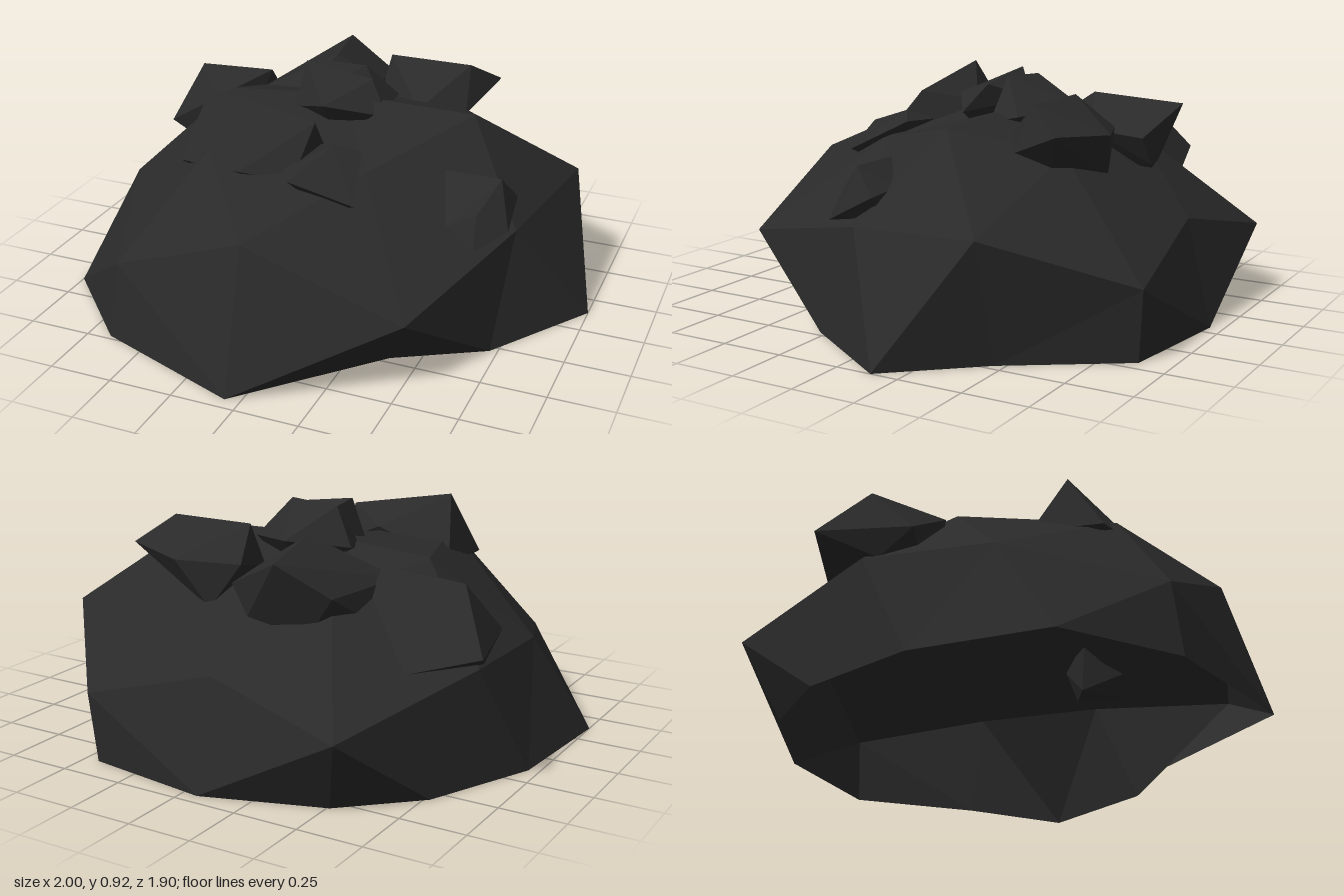
import * as THREE from 'three';
import { ConvexGeometry } from 'three/addons/geometries/ConvexGeometry.js';

const coal = new THREE.MeshStandardMaterial({ color: 0x2a2a2a, flatShading: true, side: THREE.DoubleSide });
coal.name = 'coal black';

// Mound corners, named by ring; the quadrant rings run [+x+z, -x+z, -x-z, +x-z]
const top = [-0.05, 0.78, -0.13];
const shoulder = { 1: [0.5, 0.77, -0.14], '-1': [-0.53, 0.74, -0.12] };
const brow = { 1: [-0.06, 0.54, 0.79], '-1': [-0.06, 0.41, -0.85] };
const sideFoot = { 1: [1, 0, -0.14], '-1': [-0.96, 0, -0.14] };
const endFoot = { 1: [-0.06, 0, 0.95], '-1': [-0.06, 0, -0.95] };
const crown = [[0.22, 0.66, 0.3], [-0.35, 0.72, 0.45], [-0.35, 0.66, -0.52], [0.27, 0.67, -0.5]];
const flank = [[0.75, 0.43, 0.1], [-0.85, 0.42, 0.13], [-0.85, 0.43, -0.36], [0.85, 0.47, -0.46]];
const haunch = [[0.53, 0.3, 0.715], [-0.63, 0.3, 0.69], [-0.6, 0.29, -0.935], [0.46, 0.27, -0.9]];
const cornerFoot = [[0.72, 0, 0.28], [-1, 0, 0.38], [-0.77, 0, -0.56], [0.72, 0, -0.46]];
const innerFoot = [[0.39, 0, 0.47], [-0.66, 0, 0.73], [-0.51, 0, -0.8], [0.44, 0, -0.88]];

function makeMound() {
  const pos = [];
  const tri = (a, b, c, flip) => pos.push(...a, ...(flip ? c : b), ...(flip ? b : c));
  [[1, 1], [-1, 1], [-1, -1], [1, -1]].forEach(([sx, sz], i) => {
    const flip = sx * sz < 0;
    const T = shoulder[sx], P = brow[sz], A = sideFoot[sx], C = endFoot[sz];
    const Q = crown[i], N = flank[i], M = haunch[i], B = cornerFoot[i], D = innerFoot[i];
    // Quadrant face, split in four
    tri(T, Q, N, flip);
    tri(Q, P, M, flip);
    tri(N, M, B, flip);
    tri(Q, M, N, flip);
    // Beside the summit, then down to the ground
    tri(top, Q, T, flip);
    tri(A, N, B, flip);
    tri(P, C, M, flip);
    tri(M, C, D, flip);
    tri(M, D, B, flip);
  });
  // Faces shared by two quadrants
  for (const s of [1, -1]) {
    const [r, l] = s > 0 ? [0, 1] : [3, 2];
    tri(brow[s], crown[r], crown[l], s < 0);
    tri(top, crown[l], crown[r], s < 0);
    const [f, b] = s > 0 ? [0, 3] : [1, 2];
    tri(shoulder[s], flank[f], flank[b], s < 0);
    tri(sideFoot[s], flank[b], flank[f], s < 0);
  }
  const g = new THREE.BufferGeometry();
  g.setAttribute('position', new THREE.Float32BufferAttribute(pos, 3));
  g.computeVertexNormals();
  return g;
}

export function createModel() {
  const group = new THREE.Group();
  group.name = 'coalPile';
  const add = (name, geometry) => {
    const mesh = new THREE.Mesh(geometry, coal);
    mesh.name = name;
    group.add(mesh);
  };
  // Jagged lump wrapped around a few corners
  const lump = (name, ...corners) =>
    add(name, new ConvexGeometry(corners.map((c) => new THREE.Vector3(...c))));

  add('mound', makeMound());

  lump('rightRearLump', [0.05, 0.86, -0.43], [0.39, 0.86, -0.43], [0.23, 0.71, -0.25], [0.23, 0.75, -0.66],
    [0.48, 0.77, -0.57], [0.4, 0.68, -0.35], [0, 0.74, -0.57], [0.02, 0.7, -0.38], [0.12, 0.57, -0.6], [0.27, 0.53, -0.43]);
  lump('leftRearLump', [-0.93, 0.52, -0.51], [-0.64, 0.43, -0.57], [-0.42, 0.51, -0.5], [-0.46, 0.75, -0.35],
    [-0.63, 0.67, -0.13], [-0.85, 0.53, -0.17], [-0.79, 0.73, -0.36], [-0.84, 0.43, -0.3], [-0.57, 0.36, -0.2]);
  lump('rearLump', [-0.25, 0.81, -0.74], [-0.03, 0.7, -0.67], [-0.01, 0.72, -0.47], [-0.18, 0.84, -0.4],
    [-0.26, 0.72, -0.2], [-0.48, 0.69, -0.27], [-0.41, 0.68, -0.62], [-0.1, 0.59, -0.68], [-0.3, 0.52, -0.6],
    [-0.46, 0.57, -0.44], [-0.15, 0.54, -0.42]);
  lump('summitLump', [0.05, 0.91, -0.14], [-0.16, 0.9, -0.16], [-0.07, 0.8, -0.39], [0.15, 0.77, -0.24],
    [-0.25, 0.76, -0.21], [0.14, 0.74, -0.11], [-0.23, 0.74, -0.1], [-0.05, 0.6, -0.22]);
  lump('summitFrontLump', [-0.18, 0.92, -0.08], [0.1, 0.88, -0.08], [-0.03, 0.82, 0.12], [-0.2, 0.75, -0.01],
    [0.14, 0.77, 0.01], [-0.03, 0.82, -0.2], [-0.03, 0.62, -0.04]);
  lump('frontLump', [-0.42, 0.9, 0.28], [0.01, 0.82, 0.28], [-0.2, 0.68, 0.51], [-0.18, 0.77, 0.13],
    [-0.48, 0.66, 0.15], [-0.48, 0.65, 0.43], [0.02, 0.68, 0.2], [-0.02, 0.64, 0.43], [-0.32, 0.54, 0.25], [-0.12, 0.52, 0.38]);
  lump('smallFrontLump', [0.18, 0.72, 0.24], [0.24, 0.6, 0.47], [0, 0.68, 0.52], [-0.06, 0.68, 0.42],
    [0.09, 0.75, 0.3], [0, 0.71, 0.22], [0.08, 0.5, 0.35]);
  lump('rightLump', [0.47, 0.64, 0.12], [0.69, 0.64, 0.12], [0.62, 0.56, 0], [0.73, 0.54, 0.03],
    [0.74, 0.46, 0.18], [0.64, 0.41, 0.29], [0.53, 0.49, 0.28], [0.63, 0.53, 0.23], [0.5, 0.42, 0.1], [0.62, 0.42, 0.05]);
  return group;
}
